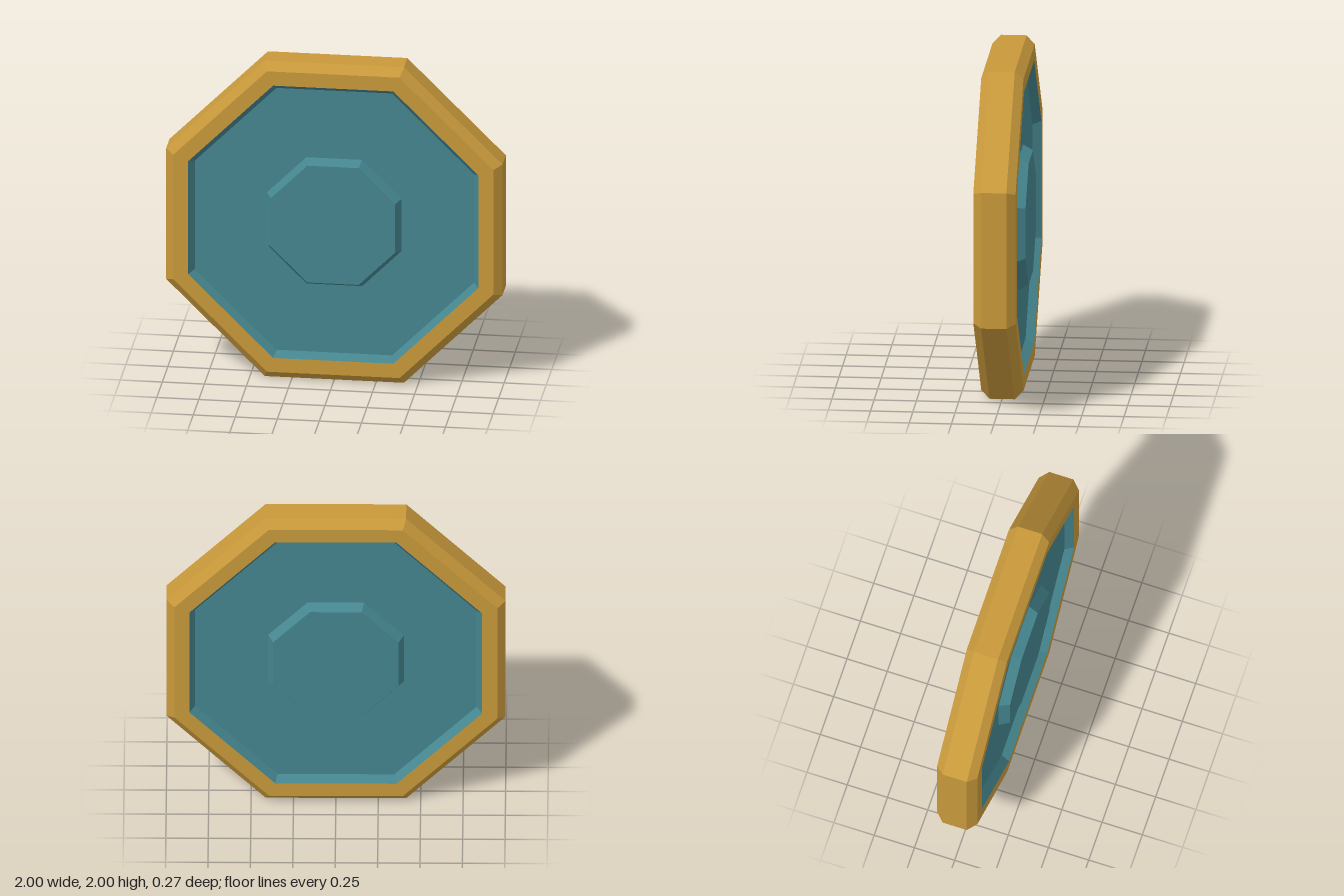
import * as THREE from 'three';

// Faceted octagonal ring from [apothem, z] pairs, flats aligned to the axes
function octagon(name, profile, material) {
  const points = profile.map(([a, z]) => new THREE.Vector2(a / Math.cos(Math.PI / 8), z));
  const geometry = new THREE.LatheGeometry(points, 8, Math.PI / 8).rotateX(Math.PI / 2).toNonIndexed();
  geometry.computeVertexNormals();
  const mesh = new THREE.Mesh(geometry, material);
  mesh.name = name;
  return mesh;
}

export function createModel() {
  const gold = new THREE.MeshStandardMaterial({ color: 0xc8993b });
  gold.name = 'gold';
  const teal = new THREE.MeshStandardMaterial({ color: 0x45868f });
  teal.name = 'teal';

  const model = new THREE.Group();
  model.name = 'octagonalDisc';

  // Chamfered outer rim
  const rim = octagon('rim', [
    [0.863, -0.125], [0.952, -0.125], [1, -0.075],
    [1, 0.075], [0.952, 0.125], [0.863, 0.125],
  ], gold);
  model.add(rim);

  // Recessed panel and raised hub, the same on both sides
  for (const side of ['front', 'back']) {
    const face = new THREE.Group();
    face.name = side + 'Face';
    face.add(
      octagon(side + 'Panel', [[0.863, 0.125], [0.83, 0.075], [0.4, 0.075]], teal),
      octagon(side + 'Hub', [[0.4, 0.075], [0.37, 0.135], [0, 0.135]], teal),
    );
    if (side === 'back') face.rotation.y = Math.PI;
    model.add(face);
  }

  // Stand the disc on the ground
  for (const part of model.children) part.position.y = 1;
  return model;
}
